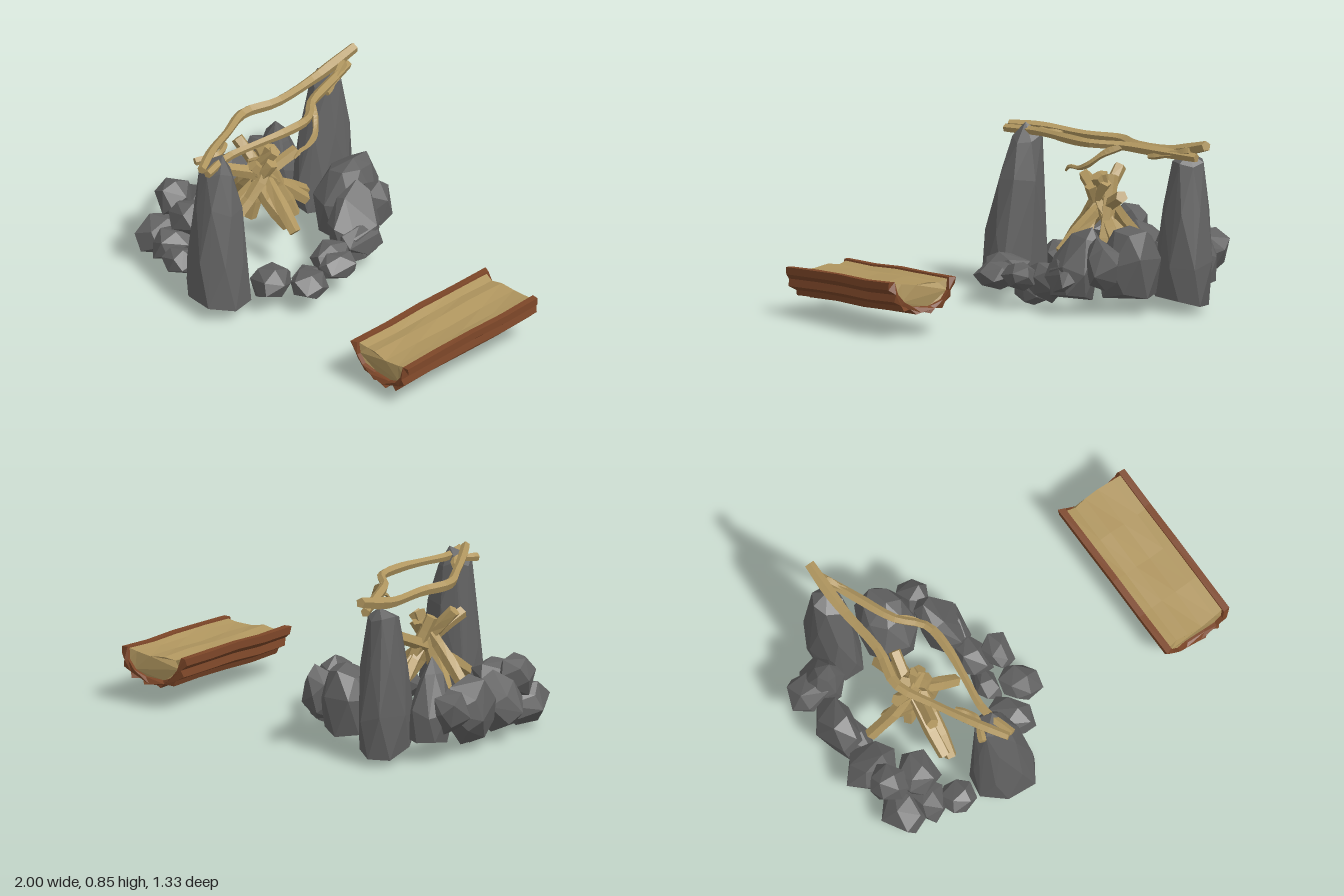
import * as THREE from 'three';
import { ConvexGeometry } from 'three/addons/geometries/ConvexGeometry.js';

const mat = (color) => new THREE.MeshStandardMaterial({ color, flatShading: true });
const V = (p) => new THREE.Vector3(...p);

let seed = 7;
const rand = () => {
  seed = (seed * 16807) % 2147483647;
  return seed / 2147483647;
};

// Faceted boulder filling the box x0..x1, y0..y1, z0..z1
function boulder([x0, x1, y0, y1, z0, z1]) {
  const pts = [], n = 16;
  for (let i = 0; i < n; i++) {
    const y = 1 - (2 * i + 1) / n, r = Math.sqrt(1 - y * y);
    const a = i * 2.4 + rand() * 0.7, s = 0.85 + rand() * 0.25;
    pts.push(new THREE.Vector3(Math.cos(a) * r * s, y * s, Math.sin(a) * r * s));
  }
  const box = new THREE.Box3().setFromPoints(pts);
  const size = box.getSize(new THREE.Vector3());
  pts.forEach((p) => p.sub(box.min).divide(size)
    .multiply(new THREE.Vector3(x1 - x0, y1 - y0, z1 - z0)).add(new THREE.Vector3(x0, y0, z0)));
  return new ConvexGeometry(pts);
}

// Pointed stone as a hull around rings: [y, centre x, centre z, half x, half z]
function standingStone(rings, peak) {
  const pts = [V(peak)];
  rings.forEach(([y, cx, cz, rx, rz], k) => {
    for (let i = 0; i < 7; i++) {
      const a = (i + 0.4 * (k % 2)) * Math.PI * 2 / 7 + 0.2, s = 0.95 + rand() * 0.16;
      pts.push(new THREE.Vector3(cx + Math.cos(a) * rx * s, y + (rand() - 0.5) * 0.06, cz + Math.sin(a) * rz * s));
    }
  });
  return new ConvexGeometry(pts);
}

// Closed stick bent along a curve, tapering from r0 to r1
function stick(points, r0, r1, segments) {
  const curve = new THREE.CatmullRomCurve3(points.map(V));
  const geo = new THREE.CylinderGeometry(1, 1, 1, 5, segments);
  const pos = geo.attributes.position, side = new THREE.Vector3(), up = new THREE.Vector3();
  for (let i = 0; i < pos.count; i++) {
    const t = THREE.MathUtils.clamp(pos.getY(i) + 0.5, 0, 1);
    const tan = curve.getTangent(t), r = (r0 + (r1 - r0) * t) * (1 + 0.1 * Math.sin(t * 17));
    side.set(-0.34, 0.94, 0).cross(tan).normalize();
    up.crossVectors(side, tan);
    const p = curve.getPoint(t).addScaledVector(up, pos.getX(i) * r).addScaledVector(side, -pos.getZ(i) * r);
    pos.setXYZ(i, p.x, p.y, p.z);
  }
  geo.computeVertexNormals();
  return geo;
}

// Cross-section in the xy plane drawn out along z with ragged ends
function drawnOut(outline, z0, z1, ragged) {
  const shape = new THREE.Shape(outline.map(([x, y]) => new THREE.Vector2(x, y)));
  const geo = new THREE.ExtrudeGeometry(shape, { depth: z1 - z0, bevelEnabled: false, steps: 4 });
  const pos = geo.attributes.position;
  for (let i = 0; i < pos.count; i++) {
    const x = pos.getX(i), y = pos.getY(i), t = pos.getZ(i) / (z1 - z0);
    const wave = Math.sin(x * 61 + y * 43);
    const end = t < 0.01 ? wave : t > 0.99 ? -wave : 0;
    pos.setZ(i, z0 + t * (z1 - z0) + end * ragged);
    pos.setY(i, y + Math.sin(t * 9 + x * 14) * 0.004);
  }
  geo.computeVertexNormals();
  return geo;
}

export function createModel() {
  const model = new THREE.Group();
  const stone = mat(0x626262), wood = mat(0xb0965f), bark = mat(0x7c4628);
  const group = (name) => {
    const g = new THREE.Group();
    g.name = name;
    model.add(g);
    return g;
  };
  const add = (parent, name, geo, material) => {
    const m = new THREE.Mesh(geo, material);
    m.name = name;
    parent.add(m);
  };

  // Ring of boulders
  const ring = group('stoneRing');
  [
    [-0.29, -0.12, 0.14, 0.40, -0.49, -0.31],
    [-0.19, -0.04, 0.10, 0.27, -0.33, -0.09],
    [-0.21, -0.05, 0.04, 0.23, -0.16, 0.08],
    [-0.20, -0.08, 0.01, 0.15, 0.00, 0.21],
    [-0.11, 0.06, 0.10, 0.23, -0.06, 0.12],
    [-0.11, 0.08, 0.08, 0.21, 0.11, 0.31],
    [-0.25, -0.05, 0.06, 0.23, 0.21, 0.44],
    [-1.00, -0.76, 0.14, 0.36, -0.40, -0.22],
    [-0.97, -0.78, 0.05, 0.38, -0.26, 0.06],
    [-0.90, -0.75, 0.03, 0.26, -0.12, 0.12],
    [-1.00, -0.72, 0.05, 0.34, 0.04, 0.27],
    [-0.95, -0.77, 0.20, 0.40, 0.20, 0.40],
    [-0.96, -0.74, 0.03, 0.24, 0.25, 0.53],
    [-0.82, -0.62, 0.18, 0.35, 0.22, 0.44],
    [-0.82, -0.63, 0.05, 0.23, 0.32, 0.55],
    [-0.69, -0.51, 0.07, 0.22, 0.43, 0.59],
  ].forEach((box) => add(ring, 'boulder', boulder(box), stone));

  // Larger peaked boulders at the back and both sides of the ring
  add(ring, 'backBoulder', standingStone([
    [0.10, -0.375, -0.37, 0.13, 0.15],
    [0.27, -0.375, -0.37, 0.145, 0.17],
    [0.40, -0.38, -0.40, 0.09, 0.10],
  ], [-0.36, 0.44, -0.40]), stone);
  add(ring, 'leaningBoulder', standingStone([
    [0.10, -0.15, -0.21, 0.10, 0.11],
    [0.24, -0.16, -0.22, 0.10, 0.14],
    [0.36, -0.21, -0.26, 0.06, 0.09],
  ], [-0.22, 0.43, -0.29]), stone);
  add(ring, 'peakedBoulder', standingStone([
    [0.11, -0.79, -0.33, 0.10, 0.10],
    [0.25, -0.80, -0.33, 0.11, 0.11],
    [0.42, -0.79, -0.30, 0.055, 0.055],
  ], [-0.78, 0.51, -0.285]), stone);

  // Two standing stones carrying the branches
  add(model, 'frontStandingStone', standingStone([
    [0.09, -0.33, 0.525, 0.165, 0.14],
    [0.30, -0.335, 0.52, 0.15, 0.125],
    [0.55, -0.36, 0.495, 0.115, 0.10],
    [0.75, -0.385, 0.48, 0.08, 0.07],
  ], [-0.36, 0.82, 0.465]), stone);
  add(model, 'backStandingStone', standingStone([
    [0.07, -0.625, -0.45, 0.115, 0.16],
    [0.24, -0.63, -0.455, 0.12, 0.17],
    [0.48, -0.635, -0.47, 0.10, 0.125],
    [0.73, -0.64, -0.49, 0.07, 0.08],
  ], [-0.63, 0.78, -0.51]), stone);

  // Branches laid across the standing stones
  const branches = group('crossBranches');
  [
    [[[-0.36, 0.79, 0.60], [-0.45, 0.79, 0.45], [-0.55, 0.77, 0.25], [-0.635, 0.765, 0.06], [-0.60, 0.765, -0.12],
      [-0.62, 0.775, -0.38], [-0.625, 0.80, -0.52], [-0.625, 0.835, -0.66]], 0.021, 0.029],
    [[[-0.33, 0.775, 0.59], [-0.375, 0.78, 0.42], [-0.355, 0.79, 0.24], [-0.335, 0.795, 0.08], [-0.345, 0.795, -0.08],
      [-0.45, 0.79, -0.21], [-0.53, 0.78, -0.40], [-0.61, 0.77, -0.60]], 0.02, 0.025],
    [[[-0.45, 0.79, -0.21], [-0.37, 0.75, -0.16], [-0.325, 0.70, -0.11], [-0.31, 0.675, -0.05], [-0.30, 0.675, 0.01],
      [-0.30, 0.65, 0.045]], 0.02, 0.007],
    [[[-0.60, 0.80, -0.56], [-0.55, 0.775, -0.46], [-0.50, 0.755, -0.36]], 0.022, 0.015],
    [[[-0.47, 0.765, 0.54], [-0.43, 0.775, 0.42], [-0.48, 0.77, 0.33]], 0.02, 0.015],
  ].forEach(([pts, r0, r1]) => add(branches, 'branch', stick(pts, r0, r1, 24), wood));

  // Firewood leaned together
  const fire = group('firewood');
  [
    [[-0.65, 0.63, 0.09], [-0.51, 0.47, 0.05], [-0.28, 0.25, 0.06]],
    [[-0.77, 0.24, 0.04], [-0.61, 0.42, 0.06], [-0.46, 0.61, 0.02]],
    [[-0.57, 0.57, 0.27], [-0.52, 0.48, 0.08], [-0.46, 0.26, -0.18]],
    [[-0.49, 0.53, -0.15], [-0.53, 0.44, 0.05], [-0.55, 0.26, 0.34]],
    [[-0.49, 0.62, 0.02], [-0.54, 0.45, 0.04], [-0.57, 0.22, 0.08]],
    [[-0.52, 0.55, 0.12], [-0.50, 0.42, 0.00], [-0.53, 0.25, -0.24]],
    [[-0.50, 0.58, 0.00], [-0.49, 0.42, 0.12], [-0.52, 0.22, 0.35]],
    [[-0.56, 0.60, 0.03], [-0.50, 0.43, -0.02], [-0.43, 0.23, -0.08]],
    [[-0.45, 0.56, 0.05], [-0.53, 0.42, 0.08], [-0.66, 0.25, 0.01]],
    [[-0.54, 0.56, 0.09], [-0.48, 0.40, 0.09], [-0.37, 0.23, 0.02]],
  ].forEach((pts) => add(fire, 'firewoodStick', stick(pts, 0.032, 0.034, 5), wood));

  // Split log bench: ridged bark shell around a dished wooden core
  const bench = group('logBench');
  const mirrored = (half) => [...half, ...half.map(([x, y]) => [-x, y]).reverse()];
  const outer = mirrored([[0.19, 0.08], [0.192, 0.045], [0.162, 0.02], [0.17, -0.015], [0.128, -0.038],
    [0.118, -0.065], [0.068, -0.06], [0.045, -0.085], [0.015, -0.078]]);
  const inner = mirrored([[0.157, 0.08], [0.145, 0.02], [0.11, -0.023], [0.05, -0.05]]);
  add(bench, 'barkShell', drawnOut([...outer, ...inner.reverse()], -0.435, 0.435, 0.012), bark);
  const core = mirrored([[0.165, 0.074], [0.15, 0.02], [0.115, -0.025], [0.05, -0.052]]);
  const top = [[-0.11, 0.058], [-0.05, 0.066], [0.03, 0.055], [0.11, 0.063]];
  add(bench, 'woodCore', drawnOut([...core, ...top], -0.418, 0.418, 0.008), wood);
  bench.position.set(0.808, 0.185, 0.097);
  bench.rotation.x = 0.045;

  return model;
}
